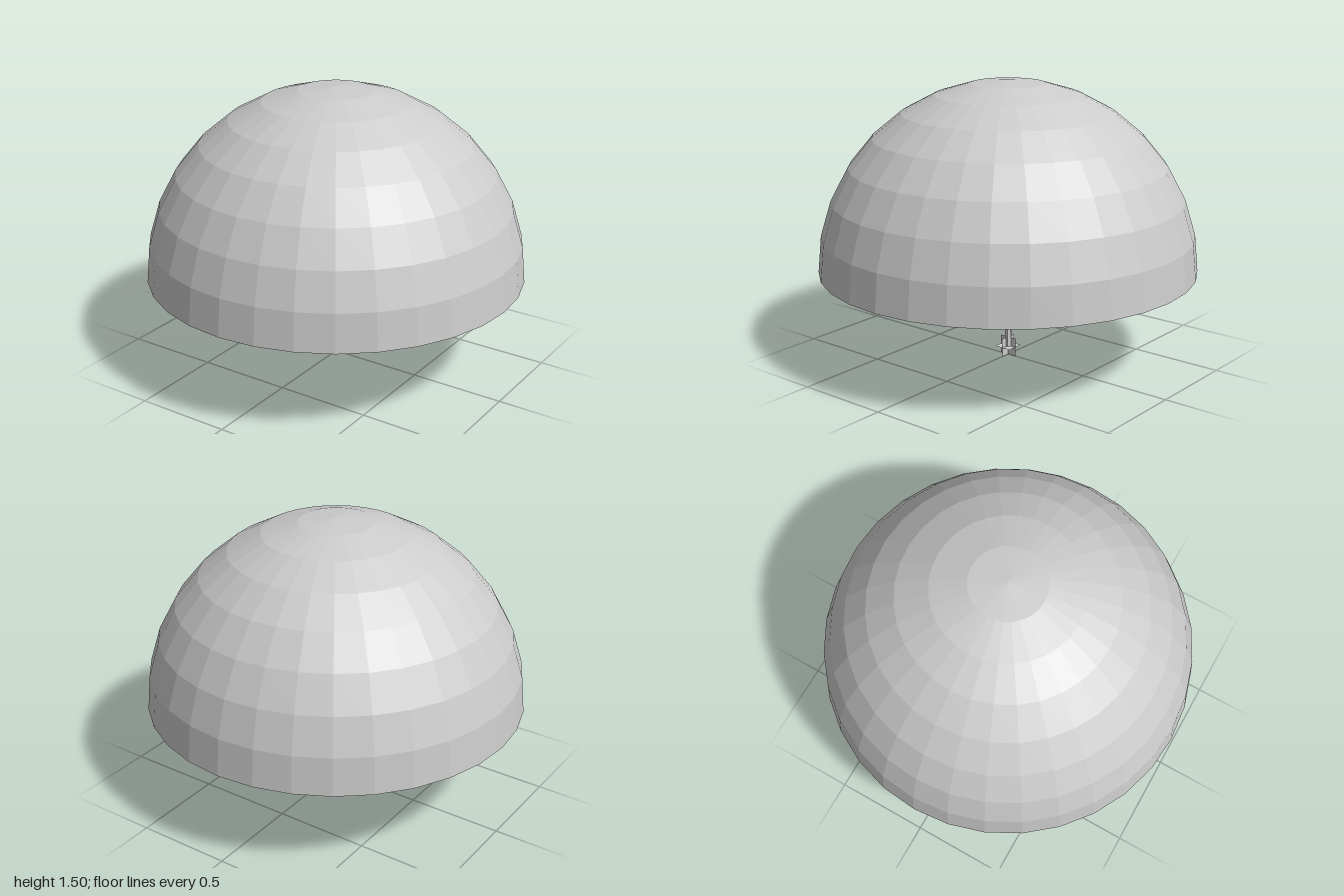
import * as THREE from 'three';
import { mergeGeometries } from 'three/addons/utils/BufferGeometryUtils.js';

const grey = new THREE.MeshStandardMaterial({ color: 0xcccccc, flatShading: true, side: THREE.DoubleSide });

function makeRandom(seed) {
  return () => {
    seed = (seed * 16807) % 2147483647;
    return seed / 2147483647;
  };
}

function addMesh(parent, name, geometry) {
  const mesh = new THREE.Mesh(geometry, grey);
  mesh.name = name;
  parent.add(mesh);
  return mesh;
}

// Tapered limb between two points
function limb(from, to, r0, r1) {
  const dir = to.clone().sub(from);
  const geo = new THREE.CylinderGeometry(r1, r0, dir.length(), 6);
  geo.applyQuaternion(new THREE.Quaternion().setFromUnitVectors(new THREE.Vector3(0, 1, 0), dir.clone().normalize()));
  const mid = from.clone().add(to).multiplyScalar(0.5);
  return geo.translate(mid.x, mid.y, mid.z);
}

// Ball-shaped cluster of square leaves lying roughly along its surface
function leafCluster(centre, radius, count, random) {
  const leaves = [];
  const dummy = new THREE.Object3D();
  for (let i = 0; i < count; i++) {
    const y = 1 - (2 * (i + 0.5)) / count;
    const angle = i * 2.39996;
    const ring = Math.sqrt(1 - y * y);
    const normal = new THREE.Vector3(Math.cos(angle) * ring, y, Math.sin(angle) * ring);
    dummy.position.copy(centre).addScaledVector(normal, radius * (0.85 + 0.15 * random()));
    dummy.lookAt(dummy.position.clone().add(normal));
    dummy.rotateX((random() - 0.5) * 0.9);
    dummy.rotateY((random() - 0.5) * 0.9);
    dummy.rotateZ(random() * Math.PI);
    dummy.updateMatrix();
    const size = 0.05 + 0.03 * random();
    leaves.push(new THREE.PlaneGeometry(size, size).applyMatrix4(dummy.matrix));
  }
  return mergeGeometries(leaves);
}

export function createModel() {
  const model = new THREE.Group();
  model.name = 'domedTree';
  const random = makeRandom(41);

  // Open faceted dome
  const dome = addMesh(model, 'dome', new THREE.SphereGeometry(1, 32, 8, 0, Math.PI * 2, 0, Math.PI / 2));
  dome.position.y = 0.5;

  // Base of three crossed squares
  const base = new THREE.Group();
  base.name = 'crossedBase';
  base.position.y = 0.05;
  for (const [rx, ry] of [[0, 0], [0, Math.PI / 2], [Math.PI / 2, 0]]) {
    addMesh(base, 'basePlane', new THREE.PlaneGeometry(0.1, 0.1)).rotation.set(rx, ry, 0);
  }
  model.add(base);

  // Trunk
  addMesh(model, 'trunk', limb(new THREE.Vector3(0, 0.05, 0), new THREE.Vector3(0, 0.85, 0), 0.02, 0.005));

  // Branches, each ending in a leaf cluster: x, y, z, radius
  const clusters = [
    [0.25, 0.83, -0.25, 0.14],
    [-0.22, 0.86, 0.22, 0.17],
    [0.13, 0.76, 0.28, 0.17],
    [-0.01, 0.83, -0.27, 0.16],
    [0.36, 0.7, -0.01, 0.08],
    [-0.28, 0.84, -0.08, 0.15],
    [0.28, 0.95, 0.06, 0.14],
    [0.16, 1.08, -0.16, 0.17],
    [-0.16, 1.08, -0.12, 0.17],
    [-0.08, 1.08, 0.18, 0.17],
    [0.16, 1.06, 0.16, 0.17],
    [0, 1.16, 0, 0.17],
  ];
  clusters.forEach(([x, y, z, r], i) => {
    const centre = new THREE.Vector3(x, y, z);
    const start = new THREE.Vector3(0, 0.57 + 0.02 * i, 0);
    addMesh(model, 'branch', limb(start, centre, 0.009, 0.004));
    addMesh(model, 'leafCluster', leafCluster(centre, r, Math.round(4200 * r * r), random));
  });

  return model;
}
